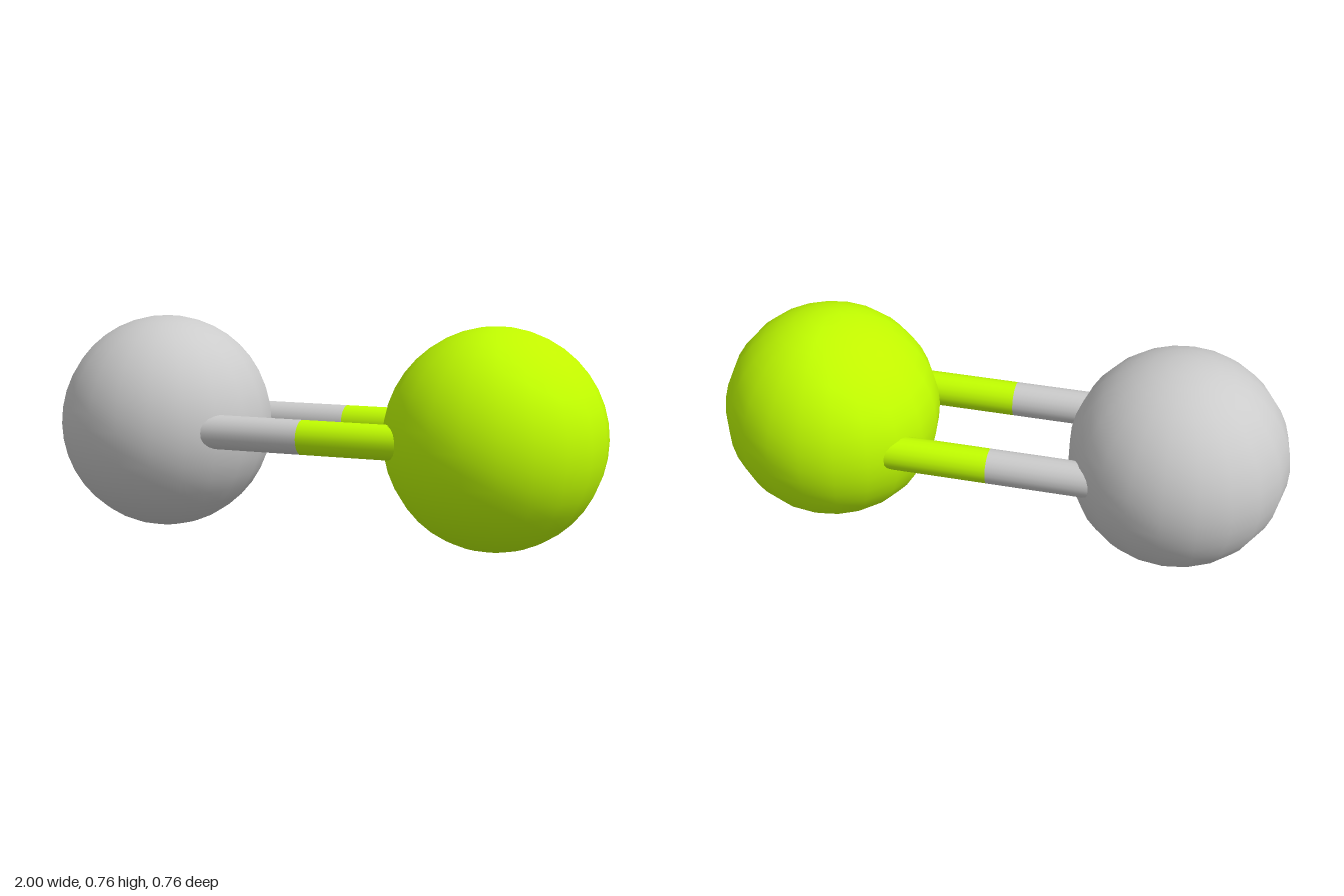
import * as THREE from 'three';

const RADIUS = 0.38;       // sphere radius
const CENTRE = 0.62;       // sphere distance from the middle
const ROD_RADIUS = 0.06;
const ROD_Z = 0.205;       // rod distance from the middle plane

export function createModel() {
  const group = new THREE.Group();
  group.name = 'doubleBondMolecule';

  const sphereGeometry = new THREE.SphereGeometry(RADIUS, 20, 20);
  const rodGeometry = new THREE.CylinderGeometry(ROD_RADIUS, ROD_RADIUS, CENTRE, 20);
  rodGeometry.rotateZ(Math.PI / 2);

  const sides = [
    { name: 'right', sign: -1, material: new THREE.MeshStandardMaterial({ color: 0xcccccc }) },
    { name: 'left', sign: 1, material: new THREE.MeshStandardMaterial({ color: 0xc2ff00 }) },
  ];

  for (const { name, sign, material } of sides) {
    // Atom ball
    const atom = new THREE.Mesh(sphereGeometry, material);
    atom.name = `${name}Atom`;
    atom.position.set(sign * CENTRE, RADIUS, 0);
    group.add(atom);

    // Two parallel half rods, from the middle to the atom's centre
    for (const [end, z] of [['Front', ROD_Z], ['Back', -ROD_Z]]) {
      const rod = new THREE.Mesh(rodGeometry, material);
      rod.name = `${name}${end}Bond`;
      rod.position.set(sign * CENTRE / 2, RADIUS, z);
      group.add(rod);
    }
  }
  return group;
}
